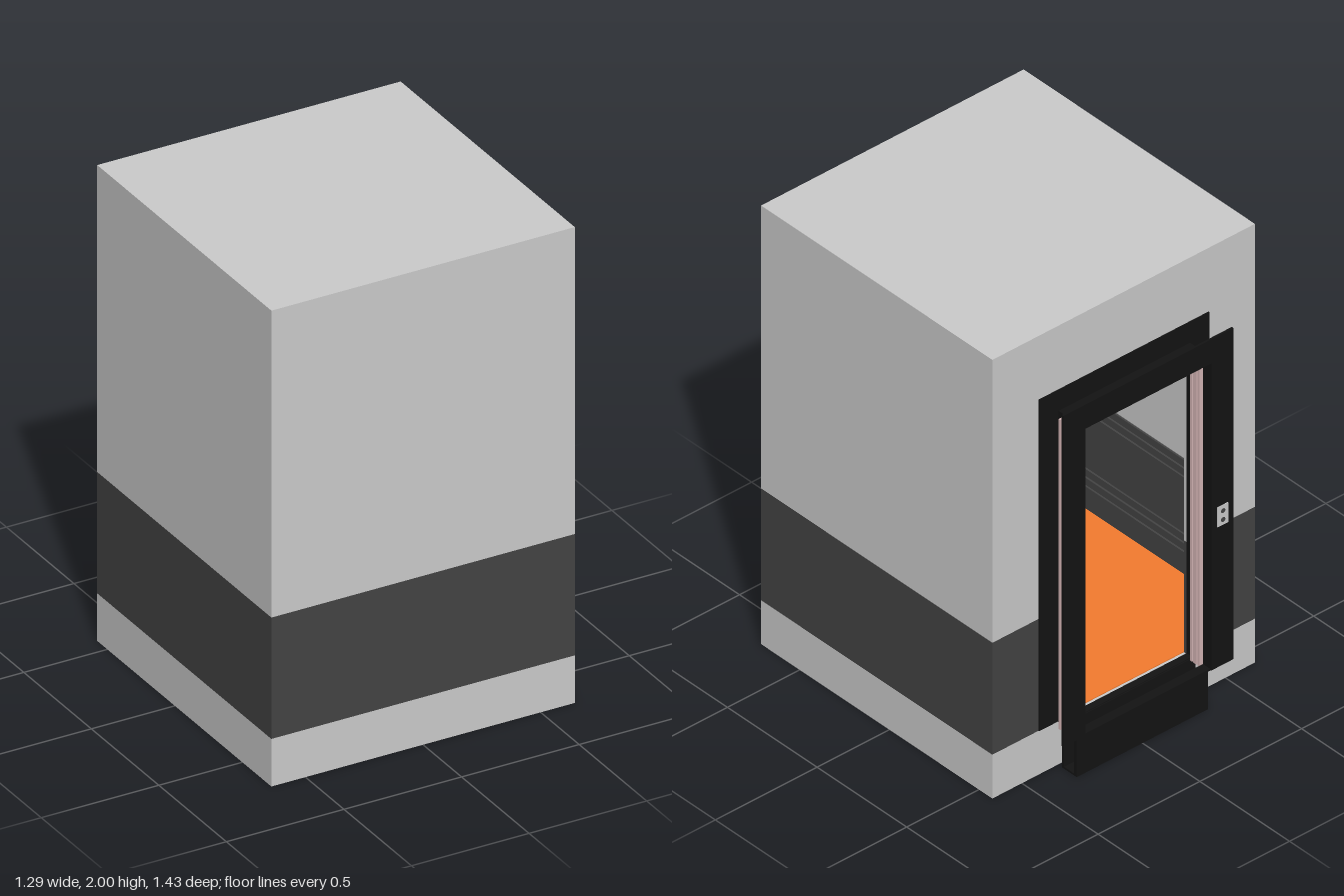
import * as THREE from 'three';

const mat = (color) => new THREE.MeshStandardMaterial({ color });
const grey = mat(0xcccccc), dark = mat(0x444444), black = mat(0x131313);
const pink = mat(0xd6b6b6), orange = mat(0xf57c2e);

// Box given by its limits on each axis
function box(parent, name, material, [x0, x1], [y0, y1], [z0, z1]) {
  const mesh = new THREE.Mesh(new THREE.BoxGeometry(x1 - x0, y1 - y0, z1 - z0), material);
  mesh.position.set((x0 + x1) / 2, (y0 + y1) / 2, (z0 + z1) / 2);
  mesh.name = name;
  parent.add(mesh);
  return mesh;
}

// The same box on the left and on the right
function pair(parent, name, material, [x0, x1], y, z) {
  box(parent, name + 'Left', material, [x0, x1], y, z);
  box(parent, name + 'Right', material, [-x1, -x0], y, z);
}

const W = 0.645, BACK = -0.575, FRONT = 0.715, T = 0.015;
const FLOOR = 0.2, BAND = 0.71, CEILING = 1.63, DOOR = 0.31, DOOR_TOP = 1.6;

// Flat architrave around the doorway, open at the bottom
function architrave(parent, name, z0, z1) {
  const s = new THREE.Shape();
  [[-0.418, FLOOR], [-DOOR, FLOOR], [-DOOR, DOOR_TOP], [DOOR, DOOR_TOP], [DOOR, FLOOR],
    [0.418, FLOOR], [0.418, 1.71], [-0.418, 1.71]].forEach(([x, y], i) => (i ? s.lineTo(x, y) : s.moveTo(x, y)));
  const geo = new THREE.ExtrudeGeometry(s, { depth: z1 - z0, bevelEnabled: false });
  const mesh = new THREE.Mesh(geo, black);
  mesh.position.z = z0;
  mesh.name = name;
  parent.add(mesh);
}

export function createModel() {
  const model = new THREE.Group();

  // Cabin shell: base, roof and thin walls with a dark band
  const cabin = new THREE.Group();
  cabin.name = 'cabin';
  model.add(cabin);
  box(cabin, 'base', grey, [-W, W], [0, FLOOR], [BACK, FRONT]);
  box(cabin, 'roof', grey, [-W, W], [CEILING, 2], [BACK, FRONT]);
  for (const [name, material, y] of [['band', dark, [FLOOR, BAND]], ['wall', grey, [BAND, CEILING]]]) {
    box(cabin, name + 'Front', material, [-W, W], y, [FRONT - T, FRONT]);
    pair(cabin, name + 'Side', material, [W - T, W], y, [BACK, FRONT - T]);
    pair(cabin, name + 'Doorway', material, [DOOR, W - T], y, [BACK, BACK + T]);
  }
  box(cabin, 'wallAboveDoor', grey, [-DOOR, DOOR], [DOOR_TOP, CEILING], [BACK, BACK + T]);
  box(cabin, 'floor', orange, [-W + T, W - T], [FLOOR, FLOOR + 0.004], [BACK + T, FRONT - T]);

  // Slim bumper strips along the inner walls
  for (const y of [0.3, 0.34, 0.38, 0.64, 0.68, 0.72]) {
    pair(cabin, 'bumperSide', dark, [W - T - 0.008, W - T], [y - 0.012, y + 0.012], [BACK + T, FRONT - T]);
    box(cabin, 'bumperFront', dark, [-W + T, W - T], [y - 0.012, y + 0.012], [FRONT - T - 0.008, FRONT - T]);
  }

  // Doorway: two portals with a gap for the sliding panels
  const doorway = new THREE.Group();
  doorway.name = 'doorway';
  model.add(doorway);
  architrave(doorway, 'wallArchitrave', BACK - 0.004, BACK + 0.001);
  architrave(doorway, 'outerArchitrave', -0.713, -0.704);
  for (const z of [[-0.605, BACK], [-0.706, -0.665]]) {
    pair(doorway, 'jamb', black, [DOOR, 0.323], [FLOOR, 1.615], z);
    box(doorway, 'threshold', black, [-0.323, 0.323], [FLOOR - 0.004, FLOOR + 0.004], z);
  }
  box(doorway, 'header', black, [-0.323, 0.323], [DOOR_TOP, 1.615], [-0.706, BACK]);

  // Folded sliding panels on both sides
  for (const z of [-0.661, -0.64, -0.62]) {
    const half = z === -0.64 ? 0.009 : 0.005;
    pair(doorway, 'slidingPanel', pink, [0.292, 0.355], [FLOOR, 1.613], [z - half, z + half]);
  }

  // Sill channel below the door
  box(doorway, 'sillBack', black, [-0.323, 0.323], [0, FLOOR], [-0.609, -0.598]);
  box(doorway, 'sillFront', black, [-0.323, 0.323], [0, FLOOR], [-0.68, -0.664]);
  box(doorway, 'sillBottom', black, [-0.323, 0.323], [0, 0.008], [-0.664, -0.609]);

  // Call panel with two buttons
  const call = new THREE.Group();
  call.name = 'callPanel';
  model.add(call);
  box(call, 'callPlate', grey, [-0.39, -0.338], [0.84, 0.93], [-0.716, -0.712]);
  for (const y of [0.865, 0.905]) {
    const button = new THREE.Mesh(new THREE.CylinderGeometry(0.01, 0.01, 0.004, 20), dark);
    button.rotation.x = Math.PI / 2;
    button.position.set(-0.364, y, -0.716);
    button.name = 'callButton';
    call.add(button);
  }
  return model;
}
